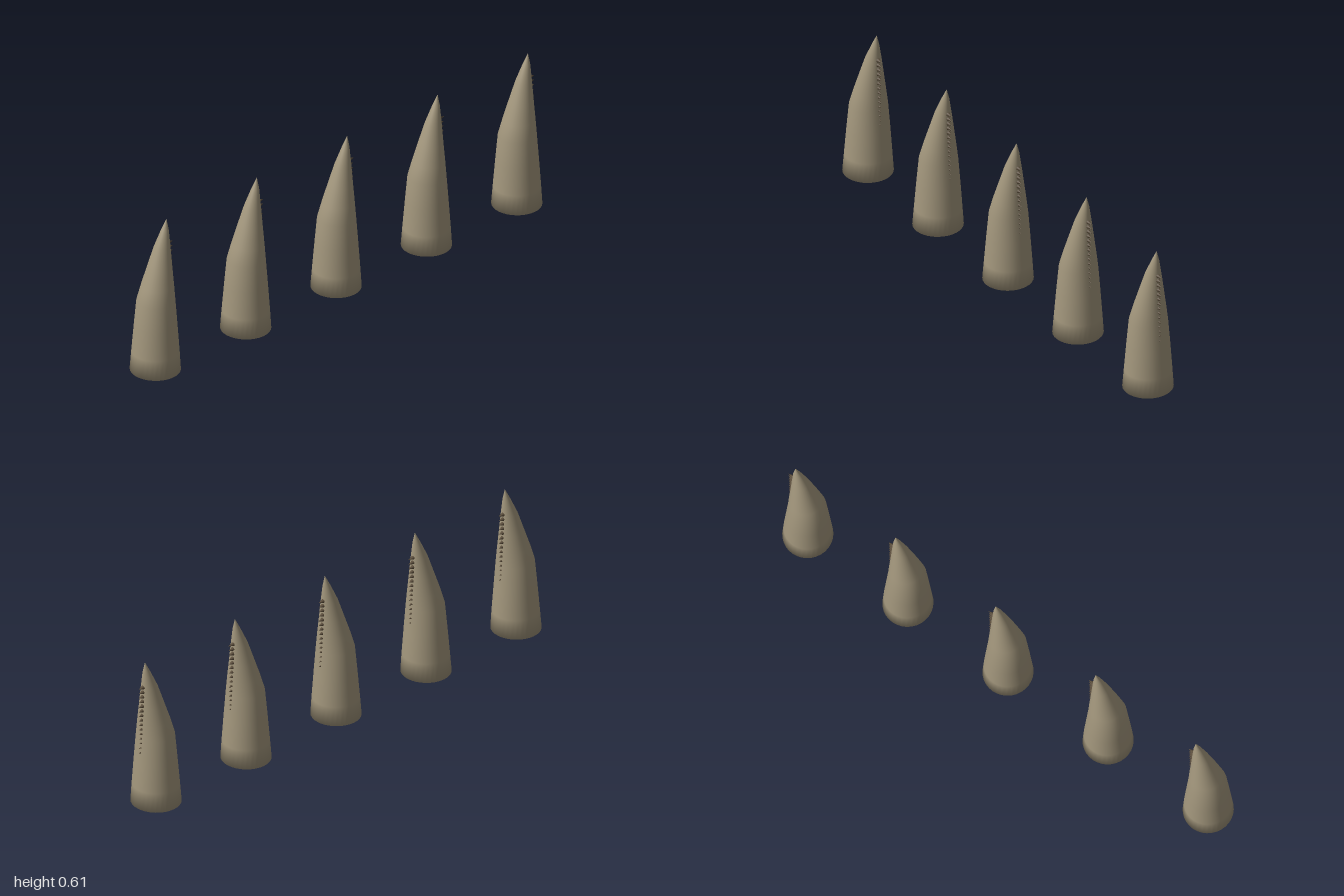
import * as THREE from 'three';

const SEGMENTS = 32;

// Cross-sections of a fang: [height, half width, half depth, depth offset]
const SECTIONS = [
  [0, 0.0001, 0.0001, 0], // closed underside
  [0.004, 0.095, 0.093, 0],
  [0.08, 0.089, 0.088, -0.001],
  [0.19, 0.081, 0.079, -0.002],
  [0.29, 0.0725, 0.071, -0.003],
  [0.35, 0.061, 0.061, -0.011],
  [0.42, 0.047, 0.047, -0.0215],
  [0.5, 0.03, 0.032, -0.034],
  [0.565, 0.014, 0.015, -0.048],
  [0.609, 0.0002, 0.0002, -0.056],
];

function fangGeometry() {
  const positions = [];
  const indices = [];
  SECTIONS.forEach(([y, rx, rz, offset], row) => {
    for (let j = 0; j < SEGMENTS; j++) {
      const a = (j / SEGMENTS) * Math.PI * 2;
      positions.push(Math.cos(a) * rx, y, offset + Math.sin(a) * rz);
      if (row === 0) continue;
      const next = (j + 1) % SEGMENTS;
      const low = (row - 1) * SEGMENTS;
      const high = row * SEGMENTS;
      indices.push(low + j, high + j, low + next, low + next, high + j, high + next);
    }
  });
  const geometry = new THREE.BufferGeometry();
  geometry.setAttribute('position', new THREE.Float32BufferAttribute(positions, 3));
  geometry.setIndex(indices);
  geometry.computeVertexNormals();
  return geometry;
}

// Depth of the back surface at a given height
function backAt(y) {
  const i = SECTIONS.findIndex((s) => s[0] >= y);
  const a = SECTIONS[i - 1];
  const b = SECTIONS[i];
  const t = (y - a[0]) / (b[0] - a[0]);
  return THREE.MathUtils.lerp(a[3] - a[2], b[3] - b[2], t);
}

export function createModel() {
  const bone = new THREE.MeshStandardMaterial({ color: 0xa2967c });
  bone.name = 'bone';
  const darkBone = new THREE.MeshStandardMaterial({ color: 0x5a4c3a });
  darkBone.name = 'dark bone';

  const model = new THREE.Group();
  model.name = 'fangRow';
  const body = fangGeometry();
  // Small spike pointing backwards
  const spike = new THREE.ConeGeometry(1, 1, 8).rotateX(-Math.PI / 2);

  const FANGS = 5;
  const SPIKES = 15;
  for (let i = 0; i < FANGS; i++) {
    const fang = new THREE.Group();
    fang.name = `fang${i + 1}`;
    fang.position.z = 0.906 - i * 0.453;

    const shell = new THREE.Mesh(body, bone);
    shell.name = 'fangBody';
    fang.add(shell);

    // Serrated back edge, growing towards the tip
    for (let k = 0; k < SPIKES; k++) {
      const t = k / (SPIKES - 1);
      const y = 0.235 + t * 0.271;
      const radius = 0.004 + Math.min(t * 1.4, 1) * 0.005;
      const reach = 0.008 + t * 0.014;
      const sunk = 0.004;
      const serration = new THREE.Mesh(spike, darkBone);
      serration.name = 'serration';
      serration.scale.set(radius, radius, reach + sunk);
      serration.position.set(0, y, backAt(y) + sunk - (reach + sunk) / 2);
      fang.add(serration);
    }
    model.add(fang);
  }
  return model;
}
